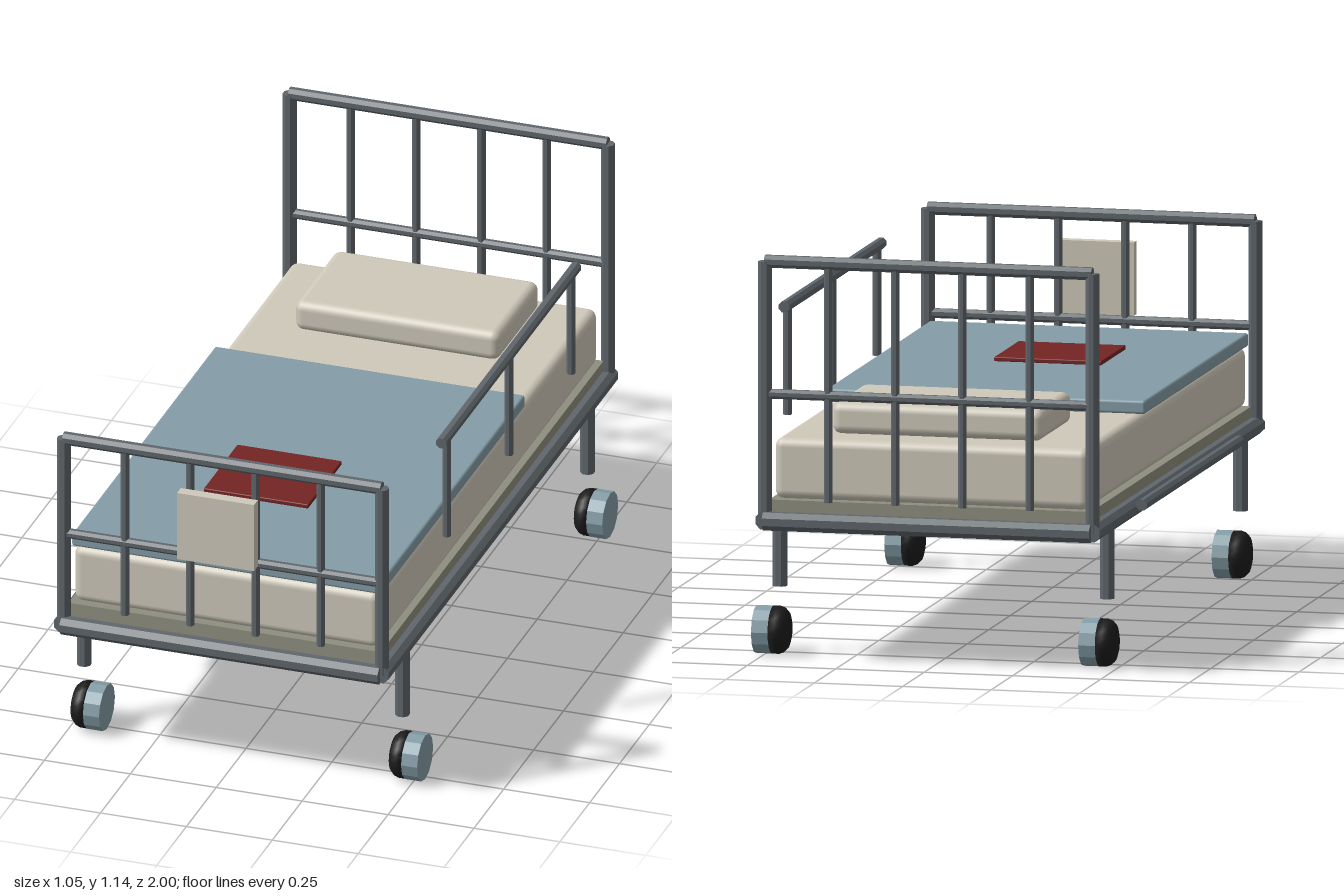
import * as THREE from 'three';
import { RoundedBoxGeometry } from 'three/addons/geometries/RoundedBoxGeometry.js';

const mat = (name, color, flatShading = false) => {
  const m = new THREE.MeshStandardMaterial({ color, flatShading });
  m.name = name;
  return m;
};

export function createModel() {
  const metal = mat('steel grey', 0x5f666b, true);
  const cream = mat('cream', 0xcfc9ba);
  const blue = mat('dusty blue', 0x849da7);
  const red = mat('dark red', 0x752424);
  const olive = mat('olive grey', 0x8f8f80);
  const black = mat('rubber black', 0x1c1c1c);

  const model = new THREE.Group();
  model.name = 'hospitalBed';

  const add = (parent, name, geometry, material, x = 0, y = 0, z = 0) => {
    const mesh = new THREE.Mesh(geometry, material);
    mesh.name = name;
    mesh.position.set(x, y, z);
    parent.add(mesh);
    return mesh;
  };
  const group = (name) => {
    const g = new THREE.Group();
    g.name = name;
    model.add(g);
    return g;
  };

  // Eight-sided tube along one axis, flat sides facing the axes; half is its half width
  const tube = (parent, name, axis, length, half, x, y, z) => {
    const r = half / Math.cos(Math.PI / 8);
    const g = new THREE.CylinderGeometry(r, r, length, 8).rotateY(Math.PI / 8);
    if (axis === 'x') g.rotateZ(Math.PI / 2);
    if (axis === 'z') g.rotateX(Math.PI / 2);
    return add(parent, name, g, metal, x, y, z);
  };
  // Box given by its limits, with rounded edges where a radius is set
  const block = (name, material, [x0, x1], [y0, y1], [z0, z1], radius = 0) => {
    const [w, h, d] = [x1 - x0, y1 - y0, z1 - z0];
    const g = radius ? new RoundedBoxGeometry(w, h, d, 3, radius) : new THREE.BoxGeometry(w, h, d);
    return add(model, name, g, material, (x0 + x1) / 2, (y0 + y1) / 2, (z0 + z1) / 2);
  };

  const cx = -0.003, side = 0.463;

  // Base frame and deck
  const frame = group('baseFrame');
  for (const s of [-1, 1]) tube(frame, 'sideBar', 'z', 1.925, 0.024, cx + s * side, 0.4, -0.012);
  for (const z of [0.949, -0.974]) tube(frame, 'endBar', 'x', 0.926, 0.025, cx, 0.4, z);
  block('deck', olive, [-0.458, 0.452], [0.395, 0.455], [-0.943, 0.92]);

  // Head and foot boards: two posts, two crossbars, four spindles
  const board = (name, z, top, mid) => {
    const g = group(name);
    for (const s of [-1, 1]) tube(g, 'post', 'y', top - 0.4, 0.018, cx + s * side, (top + 0.4) / 2, z);
    tube(g, 'topBar', 'x', 0.926, 0.017, cx, top, z);
    tube(g, 'middleBar', 'x', 0.926, 0.013, cx, mid, z);
    for (let i = 0; i < 4; i++) {
      tube(g, 'spindle', 'y', top - 0.455, 0.011, cx + (i - 1.5) * 0.19, (top + 0.455) / 2, z);
    }
  };
  board('headboard', -0.957, 1.121, 0.752);
  board('footboard', 0.935, 0.97, 0.678);

  // Bedding
  block('mattress', cream, [-0.448, 0.442], [0.455, 0.625], [-0.93, 0.91], 0.025);
  block('pillow', cream, [-0.3, 0.296], [0.63, 0.718], [-0.862, -0.512], 0.025);
  block('blanket', blue, [-0.454, 0.449], [0.624, 0.662], [-0.297, 0.907], 0.008);
  block('redFolder', red, [-0.193, 0.111], [0.661, 0.674], [0.268, 0.55], 0.003);
  block('chartBoard', cream, [-0.114, 0.11], [0.686, 0.89], [0.968, 1.0]);

  // Raised rail on the left, lowered rail on the right
  const raised = group('raisedRail');
  tube(raised, 'railBar', 'z', 1.13, 0.015, 0.5, 0.931, -0.01);
  for (const z of [0.51, -0.01, -0.53]) tube(raised, 'railPost', 'y', 0.304, 0.011, 0.501, 0.777, z);
  const lowered = group('loweredRail');
  tube(lowered, 'railBar', 'z', 1.13, 0.015, -0.513, 0.419, -0.015);

  // Legs and wheels: a rounded tyre with a faceted hub on its left side
  const tyreProfile = [
    [0, -0.027], [0.036, -0.027], [0.052, -0.022], [0.062, -0.012], [0.067, 0.002], [0.067, 0.019], [0, 0.019],
  ].map(([r, y]) => new THREE.Vector2(r, y));
  const tyre = new THREE.LatheGeometry(tyreProfile, 20).rotateZ(-Math.PI / 2);
  const hub = new THREE.CylinderGeometry(0.067, 0.067, 0.047, 12).rotateZ(-Math.PI / 2);
  const hubBlue = mat('hub blue', 0x849da7, true);
  for (const s of [-1, 1]) {
    for (const z of [0.764, -0.786]) {
      const g = group('legAndWheel');
      const x = cx + s * side;
      tube(g, 'leg', 'y', 0.21, 0.019, x, 0.295, z);
      add(g, 'tyre', tyre, black, x, 0.067, z);
      add(g, 'hub', hub, hubBlue, x + 0.0425, 0.067, z);
    }
  }

  return model;
}
